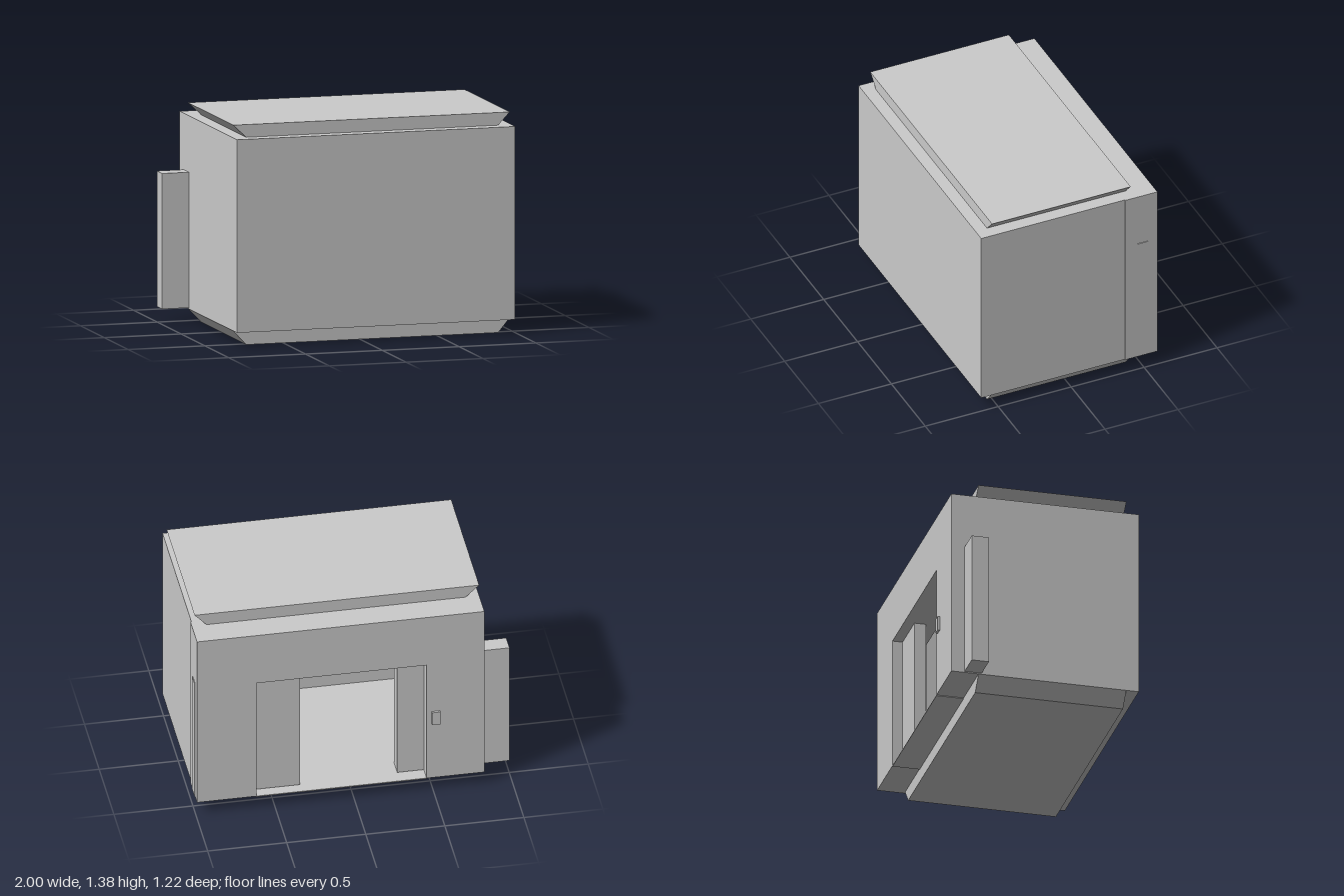
import * as THREE from 'three';

export function createModel() {
  const model = new THREE.Group();
  const material = new THREE.MeshStandardMaterial({ color: 0xcccccc, flatShading: true });

  function add(name, geometry) {
    const mesh = new THREE.Mesh(geometry, material);
    mesh.name = name;
    model.add(mesh);
    return mesh;
  }

  // Box given by its limits on each axis
  function box(name, x0, x1, y0, y1, z0, z1) {
    const mesh = add(name, new THREE.BoxGeometry(x1 - x0, y1 - y0, z1 - z0));
    mesh.position.set((x0 + x1) / 2, (y0 + y1) / 2, (z0 + z1) / 2);
    return mesh;
  }

  // Outline of [x, y] points, extruded along z
  function prism(points, depth) {
    const shape = new THREE.Shape(points.map(([x, y]) => new THREE.Vector2(x, y)));
    return new THREE.ExtrudeGeometry(shape, { depth, bevelEnabled: false });
  }

  const floorY = 0.09, topY = 1.305, doorTop = 0.945;
  const wallZ = -0.376, backZ = -0.595;

  // Cabin walls: U-shaped plan, raised along y
  const cabin = add('cabinWalls', prism([
    [-0.825, -0.61], [0.986, -0.61], [0.986, -wallZ], [0.9, -wallZ],
    [0.9, -0.51], [-0.74, -0.51], [-0.74, -wallZ], [-0.825, -wallZ],
  ], topY - floorY));
  cabin.rotation.x = -Math.PI / 2;
  cabin.position.y = floorY;

  // Thick entrance wall with the doorway cut to the floor
  const entrance = add('entranceWall', prism([
    [-0.825, floorY], [-0.46, floorY], [-0.46, doorTop], [0.617, doorTop],
    [0.617, floorY], [0.992, floorY], [0.992, topY], [-0.825, topY],
  ], wallZ - backZ));
  entrance.position.z = backZ;
  box('doorSill', -0.46, 0.617, 0.085, 0.091, backZ, -0.376);

  // Ceiling and floor slabs with sloping ends
  const slabZ = -0.42, slabDepth = 0.95;
  add('roofSlab', prism([
    [-0.74, topY], [0.9, topY], [0.975, 1.385], [-0.825, 1.385],
  ], slabDepth)).position.z = slabZ;
  add('floorSlab', prism([
    [-0.74, 0], [0.9, 0], [0.975, floorY], [-0.825, floorY],
  ], slabDepth)).position.z = slabZ;

  // Sliding door panels, slid open into the entrance wall
  box('leftDoor', 0.327, 0.997, 0.097, 0.95, -0.53, -0.457);
  box('rightDoor', -1, -0.29, 0.097, 0.95, -0.51, -0.4);

  // Call button beside the doorway
  box('callButton', -0.545, -0.492, 0.497, 0.59, -0.61, -0.59);

  return model;
}
